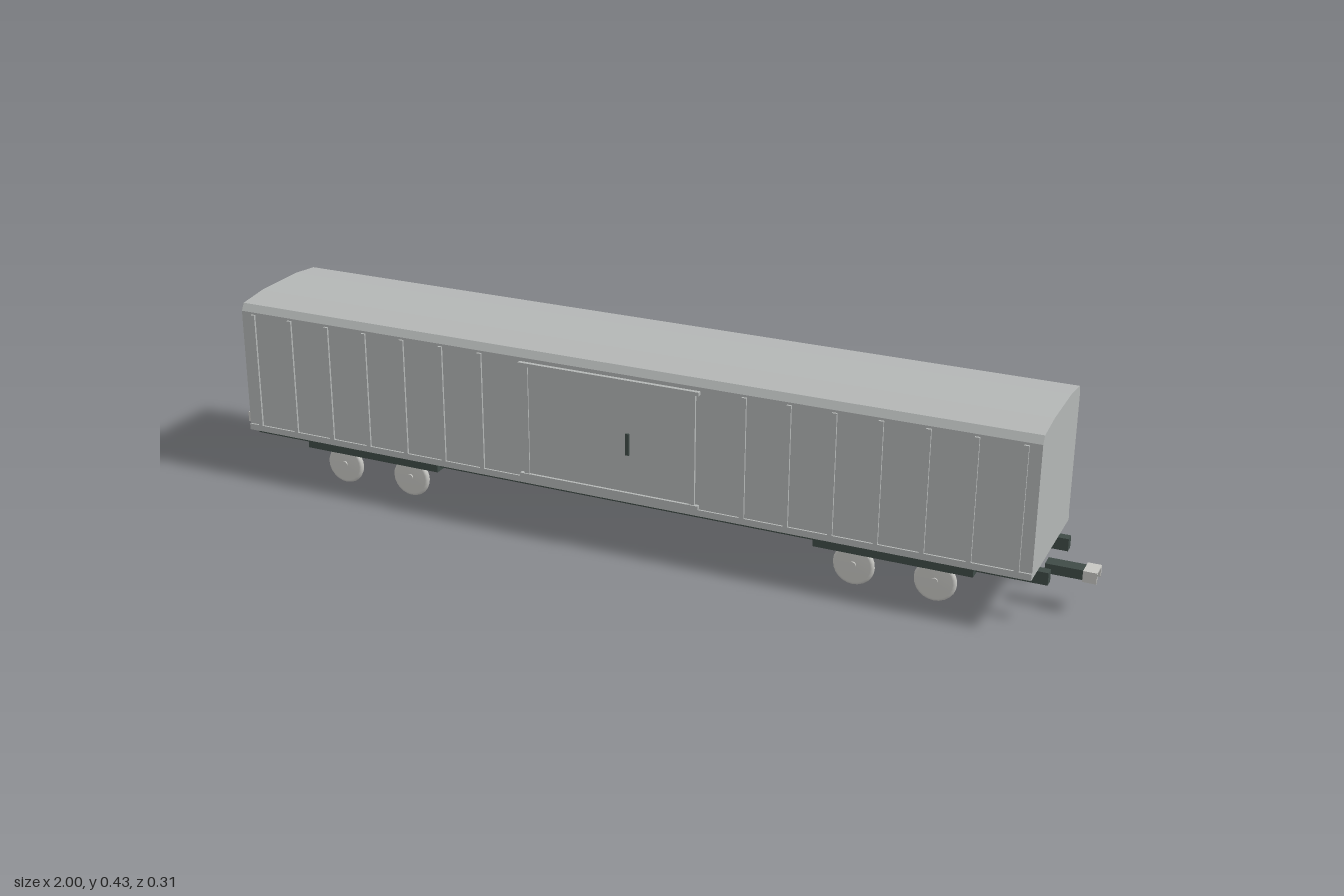
import * as THREE from 'three';

const mat = (name, color) => {
  const m = new THREE.MeshStandardMaterial({ color });
  m.name = name;
  return m;
};

export function createModel() {
  const wagon = new THREE.Group();
  wagon.name = 'boxcar';
  const body = mat('body grey', 0xb3b6b5);
  const dark = mat('dark underframe', 0x3f4b47);
  const metal = mat('light metal', 0xc6c6c2);

  const add = (parent, name, geo, material, x = 0, y = 0, z = 0) => {
    const mesh = new THREE.Mesh(geo, material);
    mesh.name = name;
    mesh.position.set(x, y, z);
    parent.add(mesh);
    return mesh;
  };
  // Box given by its lower and upper limits
  const box = (parent, name, material, x0, x1, y0, y1, z0, z1) =>
    add(parent, name, new THREE.BoxGeometry(x1 - x0, y1 - y0, z1 - z0), material,
      (x0 + x1) / 2, (y0 + y1) / 2, (z0 + z1) / 2);

  // Body shell with faceted roof, extruded along the length
  const half = [[0.148, 0.12], [0.148, 0.403], [0.139, 0.419], [0.066, 0.427]];
  const outline = [...half, ...half.map(([z, y]) => [-z, y]).reverse()];
  const shell = new THREE.ExtrudeGeometry(
    new THREE.Shape(outline.map(([z, y]) => new THREE.Vector2(z, y))),
    { depth: 1.8, bevelEnabled: false });
  shell.translate(0, 0, -0.9).rotateY(Math.PI / 2);
  add(wagon, 'bodyShell', shell, body);
  box(wagon, 'floorEdge', body, -0.9, 0.9, 0.12, 0.134, -0.152, 0.152);

  // Side details: the back side is the front turned half round
  for (const turn of [0, Math.PI]) {
    const side = new THREE.Group();
    side.name = turn ? 'backSide' : 'frontSide';
    side.rotation.y = turn;
    wagon.add(side);
    for (const s of [-1, 1]) {
      for (let i = 0; i < 7; i++) {
        const x = s * (0.3 + i * 0.095);
        box(side, 'rib', body, x - 0.005, x + 0.005, 0.134, 0.398, 0.147, 0.153);
      }
      box(side, 'doorPost', body, s * 0.19 - 0.006, s * 0.19 + 0.006, 0.136, 0.394, 0.147, 0.154);
    }
    box(side, 'door', body, -0.185, 0.185, 0.14, 0.39, 0.147, 0.151);
    for (const y of [0.14, 0.391])
      box(side, 'doorRail', body, -0.205, 0.205, y - 0.004, y + 0.004, 0.147, 0.157);
    box(side, 'doorHandle', dark, 0.041, 0.049, 0.228, 0.276, 0.149, 0.155);
  }

  // Longitudinal sills
  for (const s of [-1, 1])
    box(wagon, 'sill', dark, -0.92, 0.92, 0.087, 0.114, s * 0.083 - 0.01, s * 0.083 + 0.01);

  // Wheel profile with rounded tread
  const wheelGeo = new THREE.LatheGeometry([
    [0, -0.007], [0.038, -0.007], [0.043, -0.005], [0.045, 0],
    [0.043, 0.005], [0.038, 0.007], [0, 0.007],
  ].map(([r, h]) => new THREE.Vector2(r, h)), 24).rotateX(Math.PI / 2);
  const axleGeo = new THREE.CylinderGeometry(0.007, 0.007, 0.184, 12).rotateX(Math.PI / 2);

  for (const end of [-1, 1]) {
    // Bogie with two wheelsets
    const bogie = new THREE.Group();
    bogie.name = 'bogie';
    bogie.position.x = end * 0.607;
    wagon.add(bogie);
    box(bogie, 'bogiePlate', dark, -0.168, 0.168, 0.08, 0.106, -0.107, 0.107);
    for (const dx of [-0.086, 0.086]) {
      add(bogie, 'axle', axleGeo, metal, dx, 0.047, 0);
      for (const z of [-0.082, 0.082]) add(bogie, 'wheel', wheelGeo, metal, dx, 0.045, z);
    }

    // Coupler
    const coupler = new THREE.Group();
    coupler.name = 'coupler';
    coupler.rotation.y = end > 0 ? 0 : Math.PI;
    wagon.add(coupler);
    box(coupler, 'couplerShaft', dark, 0.895, 0.995, 0.074, 0.095, -0.015, 0.015);
    box(coupler, 'couplerTop', metal, 0.972, 1, 0.094, 0.097, -0.02, 0.02);
    for (const s of [-1, 1])
      box(coupler, 'couplerCheek', metal, 0.972, 1, 0.073, 0.097, s * 0.018 - 0.003, s * 0.018 + 0.003);
  }
  return wagon;
}
